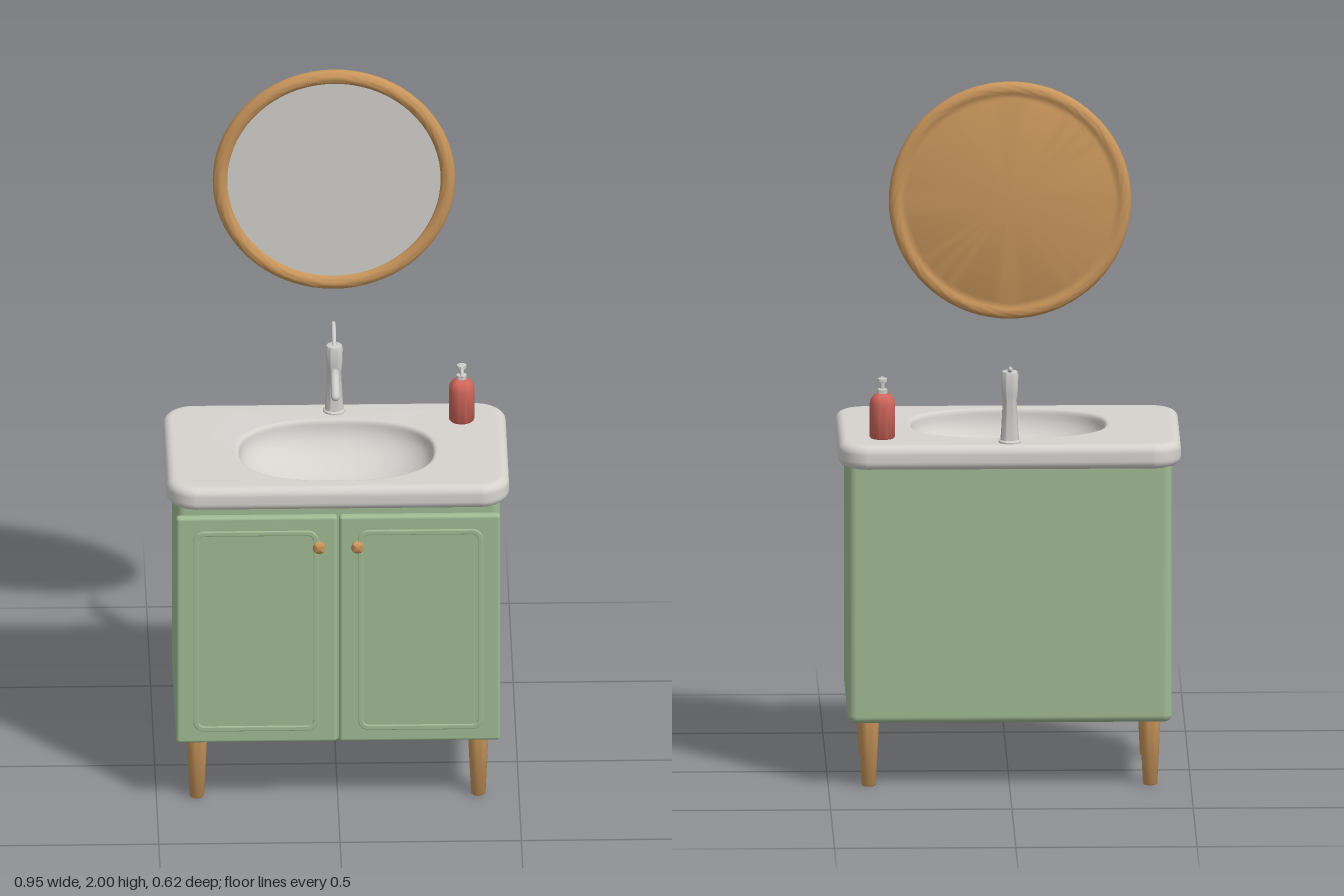
import * as THREE from 'three';
import { toCreasedNormals } from 'three/addons/utils/BufferGeometryUtils.js';
import { RoundedBoxGeometry } from 'three/addons/geometries/RoundedBoxGeometry.js';

const mat = (name, color) => new THREE.MeshStandardMaterial({ name, color });

// Horizontal outline: rounded rectangle (r) or superellipse (n), K points per quadrant
const K = 14;
function outline({ a, b, r, n, y, z = 0 }) {
  const pts = [];
  for (let j = 0; j < 4 * K; j++) {
    const t = ((j + 0.5) / K) * Math.PI / 2, c = Math.cos(t), s = Math.sin(t);
    const sx = Math.sign(c), sz = Math.sign(s);
    if (n) pts.push([sx * a * Math.abs(c) ** (2 / n), y, z + sz * b * Math.abs(s) ** (2 / n)]);
    else pts.push([sx * (a - r) + r * c, y, z + sz * (b - r) + r * s]);
  }
  return pts;
}

// Skin through a list of outlines
function loft(rings) {
  const N = 4 * K, index = [];
  for (let i = 0; i < rings.length - 1; i++) for (let j = 0; j < N; j++) {
    const p = i * N + j, q = i * N + (j + 1) % N;
    index.push(p, p + N, q, p + N, q + N, q);
  }
  const g = new THREE.BufferGeometry();
  g.setAttribute('position', new THREE.Float32BufferAttribute(rings.flatMap(outline).flat(), 3));
  g.setIndex(index);
  g.computeVertexNormals();
  return g;
}

const lathe = (pts, seg = 32, crease = 0.7) =>
  toCreasedNormals(new THREE.LatheGeometry(pts.map(p => new THREE.Vector2(...p)), seg), crease);

const tube = (pts, radius) => new THREE.TubeGeometry(
  new THREE.CatmullRomCurve3(pts.map(p => new THREE.Vector3(...p))), 24, radius, 14);

function roundedRect(Type, x0, y0, x1, y1, r) {
  const s = new Type();
  s.moveTo(x0 + r, y0);
  s.lineTo(x1 - r, y0); s.absarc(x1 - r, y0 + r, r, -Math.PI / 2, 0);
  s.lineTo(x1, y1 - r); s.absarc(x1 - r, y1 - r, r, 0, Math.PI / 2);
  s.lineTo(x0 + r, y1); s.absarc(x0 + r, y1 - r, r, Math.PI / 2, Math.PI);
  s.lineTo(x0, y0 + r); s.absarc(x0 + r, y0 + r, r, Math.PI, Math.PI * 1.5);
  return s;
}

export function createModel() {
  const root = new THREE.Group();
  root.name = 'bathroomVanity';
  const green = mat('sage green paint', 0xa0ba93);
  const wood = mat('wood', 0xc9965c);
  const ceramic = mat('ceramic', 0xd6d3cf);
  const metal = mat('brushed metal', 0xcfcdca);
  const glass = mat('mirror glass', 0xd2cfcb);
  const red = mat('red bottle', 0xcf665b);

  const add = (name, geo, material, x = 0, y = 0, z = 0, parent = root) => {
    const m = new THREE.Mesh(geo, material);
    m.name = name;
    m.position.set(x, y, z);
    parent.add(m);
    return m;
  };

  // Cabinet body, open under the counter to leave room for the bowl
  const body = [{ a: 0, b: 0, r: 0, y: 0.187 }, { a: 0.41, b: 0.22, r: 0.01, y: 0.187 }];
  for (let i = 0; i <= 5; i++) {
    const t = (i / 5) * Math.PI / 2, inset = 0.02 * (1 - Math.sin(t));
    body.push({ a: 0.447 - inset, b: 0.254 - inset, r: 0.025 - inset, y: 0.207 - 0.02 * Math.cos(t) });
  }
  body.push({ a: 0.447, b: 0.254, r: 0.025, y: 0.89 }, { a: 0.447, b: 0.254, r: 0.025, y: 0.912 });
  add('cabinet', loft(body), green, 0, 0, 0.003);

  // Countertop with a rounded edge that runs on into the bowl
  const top = [{ a: 0.40, b: 0.2, r: 0.02, y: 0.906 }];
  const edge = (cy, from, to, r = 0.024) => {
    for (let i = 0; i <= 6; i++) {
      const t = from + (to - from) * i / 6, inset = r * (1 - Math.cos(t));
      top.push({ a: 0.473 - inset, b: 0.276 - inset, r: 0.085 - inset, y: cy + r * Math.sin(t) });
    }
  };
  edge(0.93, -Math.PI / 2, 0);
  edge(0.951, 0, Math.PI / 2);
  top.push({ a: 0.44, b: 0.245, r: 0.07, y: 0.975 });
  const bowl = (f, y) => ({ a: 0.267 * f, b: 0.189 * f, n: 2.4, y, z: 0.028 });
  top.push(bowl(1.06, 0.975), bowl(1.035, 0.9745), bowl(1.015, 0.972), bowl(1.003, 0.966));
  for (let i = 0; i <= 16; i++) {
    const t = (i / 16) * Math.PI / 2;
    top.push(bowl(Math.cos(t), 0.96 - 0.12 * Math.sin(t)));
  }
  add('countertopWithBasin', loft(top), ceramic);
  add('drain', lathe([[0.025, -0.01], [0.025, 0.003], [0.02, 0.006], [0, 0.008]]), metal, 0, 0.842, 0.03);

  // Doors with raised beads and knobs
  const knobProfile = [[0.011, 0], [0.009, 0.006], [0.011, 0.012], [0.017, 0.019], [0.018, 0.024], [0.014, 0.03], [0, 0.032]];
  for (const s of [-1, 1]) {
    const door = new THREE.Group();
    door.name = s > 0 ? 'leftDoor' : 'rightDoor';
    root.add(door);
    add('doorPanel', new RoundedBoxGeometry(0.444, 0.69, 0.026, 3, 0.009), green, s * 0.225, 0.545, 0.265, door);
    const frame = roundedRect(THREE.Shape, -0.17, -0.303, 0.17, 0.303, 0.028);
    frame.holes.push(roundedRect(THREE.Path, -0.161, -0.294, 0.161, 0.294, 0.02));
    const bead = new THREE.ExtrudeGeometry(frame, {
      depth: 0.004, bevelEnabled: true, bevelThickness: 0.003, bevelSize: 0.003, bevelSegments: 2, curveSegments: 8,
    });
    add('doorBead', bead, green, s * 0.227, 0.543, 0.276, door);
    add('knob', lathe(knobProfile, 24, 1), wood, s * 0.053, 0.806, 0.277, door).rotation.x = Math.PI / 2;

    // Tapered legs
    for (const z of [0.197, -0.183]) {
      add('leg', lathe([[0, 0], [0.017, 0], [0.02, 0.004], [0.029, 0.195]], 24), wood, s * 0.388, 0, z);
    }
  }

  // Round mirror: wooden frame with closed back, glass set in front
  const R = 0.314, profile = [[0, -0.013], [0.285, -0.013], [0.29, -0.011]];
  for (let i = 0; i <= 16; i++) {
    const t = -Math.PI * 0.72 + (i / 16) * Math.PI * 1.72;
    profile.push([R + 0.0205 * Math.cos(t), 0.0175 * Math.sin(t)]);
  }
  profile.push([R - 0.0205, -0.004]);
  add('mirrorFrame', lathe(profile, 72), wood, 0, 1.666, -0.257).rotation.x = Math.PI / 2;
  add('mirrorGlass', new THREE.CircleGeometry(0.296, 72), glass, 0, 1.666, -0.253);

  // Faucet
  const faucet = new THREE.Group();
  faucet.name = 'faucet';
  faucet.position.set(0, 0.975, -0.22);
  root.add(faucet);
  add('faucetColumn', lathe([[0.031, -0.005], [0.031, 0.004], [0.026, 0.008], [0.024, 0.03], [0.019, 0.12],
    [0.022, 0.135], [0.024, 0.19], [0.021, 0.2], [0, 0.204]]), metal, 0, 0, 0, faucet);
  add('spout', tube([[0, 0.115, 0], [0, 0.136, 0.05], [0, 0.136, 0.09], [0, 0.122, 0.122], [0, 0.108, 0.138]], 0.012), metal, 0, 0, 0, faucet);
  add('spoutTip', new THREE.SphereGeometry(0.012, 14, 10), metal, 0, 0.108, 0.138, faucet).scale.setScalar(0.99);
  add('handle', tube([[0, 0.198, 0.008], [0, 0.208, -0.025], [0, 0.22, -0.06], [0, 0.224, -0.088]], 0.006), metal, 0, 0, 0, faucet);
  add('handleTip', new THREE.SphereGeometry(0.006, 12, 8), metal, 0, 0.224, -0.088, faucet);

  // Soap dispenser
  const soap = new THREE.Group();
  soap.name = 'soapDispenser';
  soap.position.set(0.35, 0.975, -0.155);
  root.add(soap);
  add('bottle', lathe([[0, 0], [0.032, 0], [0.035, 0.004], [0.035, 0.095], [0.033, 0.108], [0.026, 0.119],
    [0.015, 0.126], [0, 0.127]]), red, 0, 0, 0, soap);
  add('pumpCollar', lathe([[0.014, 0.12], [0.014, 0.137], [0.006, 0.139], [0.006, 0.156], [0.013, 0.158], [0.013, 0.167], [0, 0.169]], 20), metal, 0, 0, 0, soap);
  add('pumpNozzle', tube([[0, 0.163, 0], [0, 0.163, 0.025], [0, 0.16, 0.037], [0, 0.153, 0.043]], 0.0045), metal, 0, 0, 0, soap);
  add('nozzleTip', new THREE.SphereGeometry(0.0045, 10, 8), metal, 0, 0.153, 0.043, soap);

  return root;
}
